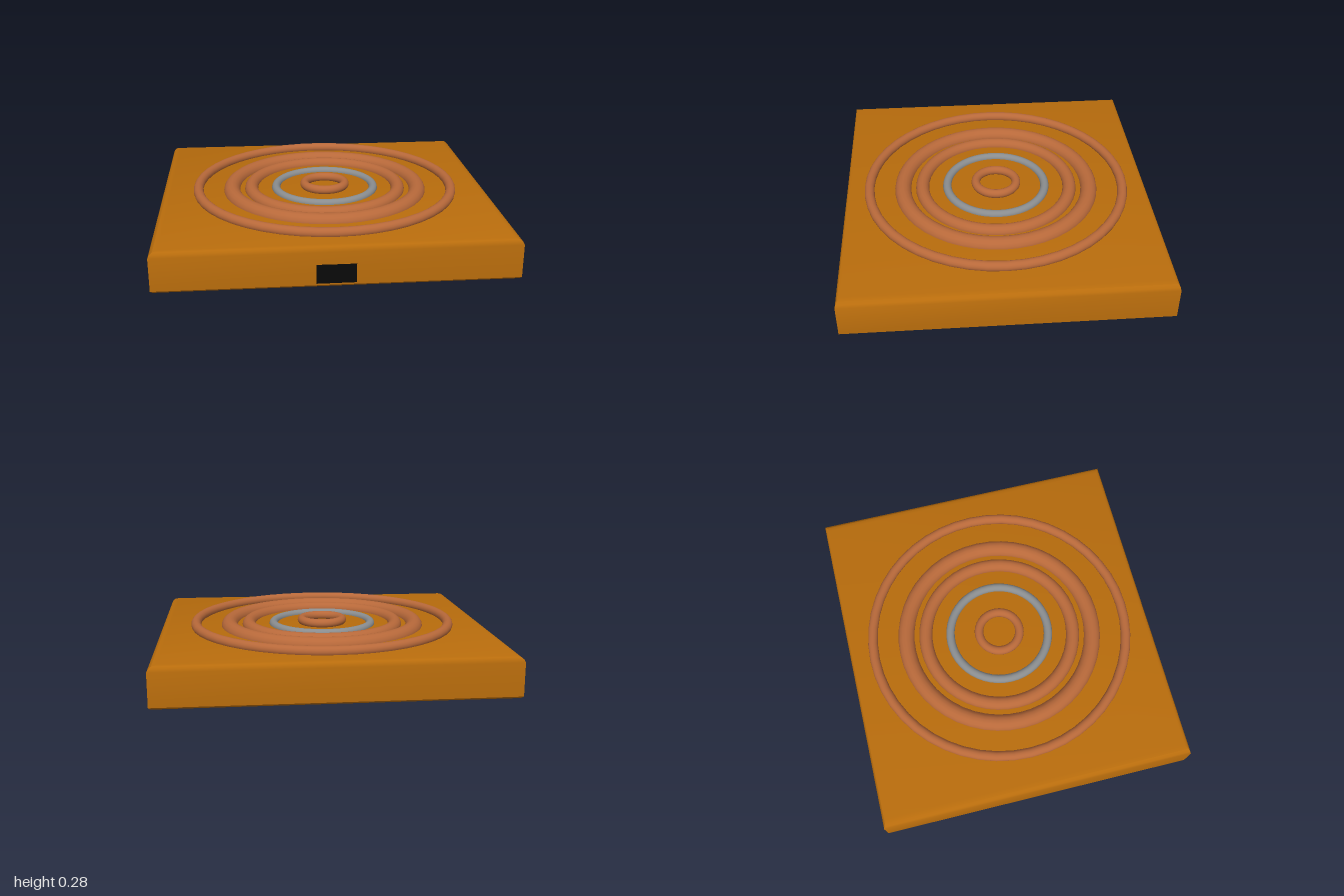
import * as THREE from 'three';
import { toCreasedNormals } from 'three/addons/utils/BufferGeometryUtils.js';

const mat = (color) => new THREE.MeshStandardMaterial({ color });

// Square slab lofted from inset square sections [y, insetX, insetZ], closed top and bottom
function slabGeometry(halfX, halfZ, sections) {
  const pos = [];
  const index = [];
  const corners = [[-1, 1], [1, 1], [1, -1], [-1, -1]];
  for (const [y, ix, iz] of sections) {
    for (const [sx, sz] of corners) pos.push(sx * (halfX - ix), y, sz * (halfZ - iz));
  }
  for (let s = 0; s < sections.length - 1; s++) {
    for (let c = 0; c < 4; c++) {
      const a = s * 4 + c, b = s * 4 + ((c + 1) % 4);
      index.push(a, b, b + 4, a, b + 4, a + 4);
    }
  }
  const t = (sections.length - 1) * 4;
  index.push(t, t + 1, t + 2, t, t + 2, t + 3, 0, 2, 1, 0, 3, 2);
  const g = new THREE.BufferGeometry();
  g.setAttribute('position', new THREE.Float32BufferAttribute(pos, 3));
  g.setIndex(index);
  return toCreasedNormals(g, Math.PI / 5);
}

export function createModel() {
  const group = new THREE.Group();
  const add = (name, geometry, material) => {
    const mesh = new THREE.Mesh(geometry, material);
    mesh.name = name;
    group.add(mesh);
    return mesh;
  };
  const wood = mat(0xb86c0c);
  const copper = mat(0xb8693a);
  const steel = mat(0x8a8d8f);

  // Base slab with a softened top edge and a slight bottom bevel
  add('base', slabGeometry(1, 0.928, [
    [0, 0.012, 0.008], [0.01, 0, 0], [0.2, 0, 0],
    [0.217, 0.008, 0.004], [0.229, 0.025, 0.013], [0.235, 0.05, 0.028],
  ]), wood);

  // Concentric rings: name, inner radius, outer radius, top height, material
  const rings = [
    ['outerRing', 0.752, 0.812, 0.28, copper],
    ['wideRing', 0.525, 0.627, 0.28, copper],
    ['middleRing', 0.415, 0.497, 0.275, copper],
    ['steelRing', 0.277, 0.329, 0.262, steel],
    ['centreRing', 0.098, 0.152, 0.283, copper],
  ];
  for (const [name, inner, outer, top, material] of rings) {
    const tube = (outer - inner) / 2;
    const g = new THREE.TorusGeometry((inner + outer) / 2, tube, 16, 48);
    g.rotateX(-Math.PI / 2);
    add(name, g, material).position.set(0.004, top - tube, 0.002);
  }

  // Front display: thin housing with a dark screen, leaning forward a little
  const display = new THREE.Group();
  display.name = 'display';
  const housing = new THREE.Mesh(new THREE.BoxGeometry(0.216, 0.11, 0.02), wood);
  housing.name = 'displayHousing';
  housing.position.z = -0.011;
  const screen = new THREE.Mesh(new THREE.BoxGeometry(0.216, 0.11, 0.004), mat(0x0a0a0a));
  screen.name = 'displayScreen';
  display.add(housing, screen);
  display.position.set(-0.014, 0.075, 0.93);
  display.rotation.x = 0.03;
  group.add(display);

  return group;
}
